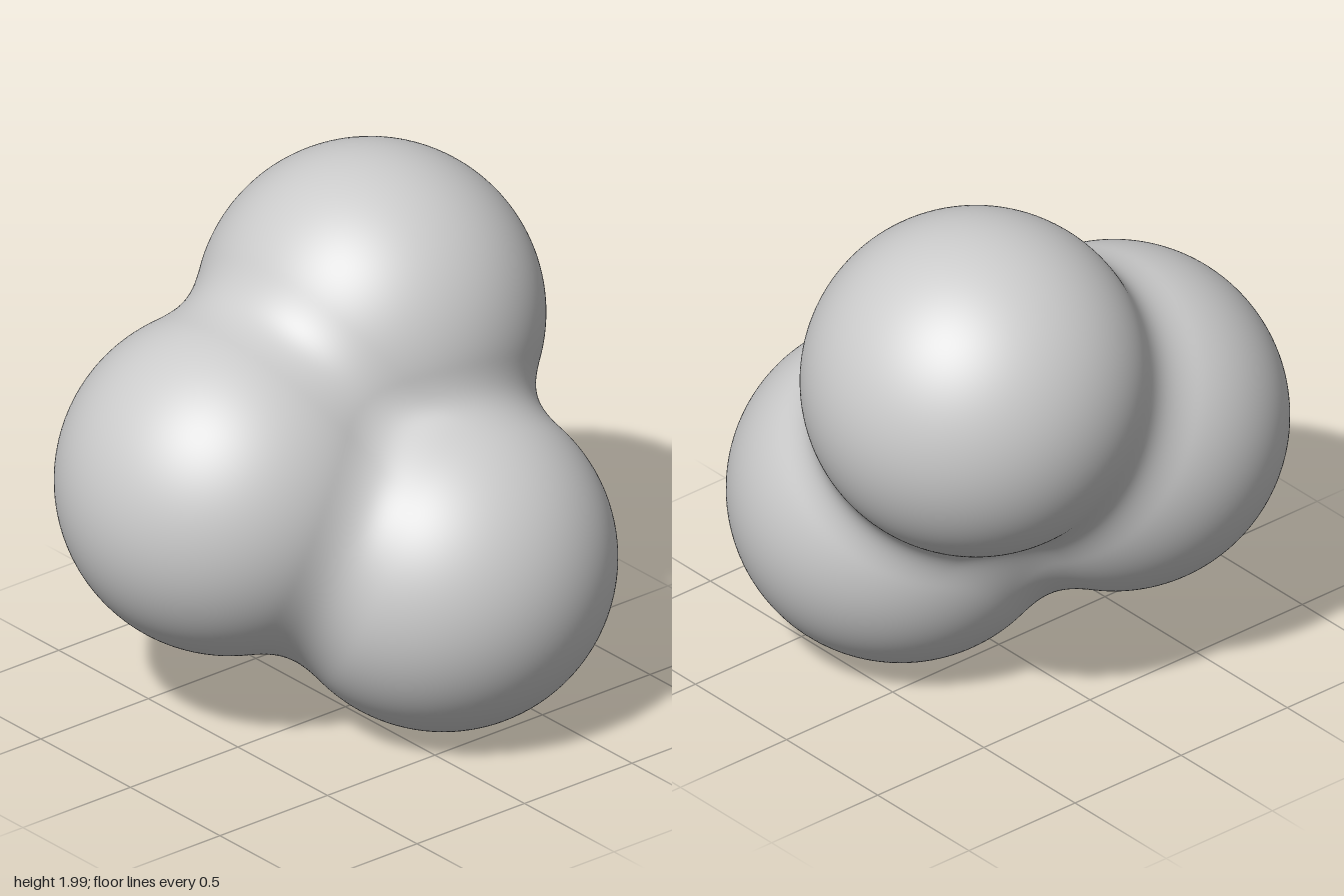
import * as THREE from 'three';
import { mergeVertices } from 'three/addons/utils/BufferGeometryUtils.js';

// The three lobes: centre and radius
const lobes = [
  { centre: new THREE.Vector3(-0.27, 1.37, -0.34), radius: 0.63 },
  { centre: new THREE.Vector3(-0.23, 0.935, 0.345), radius: 0.63 },
  { centre: new THREE.Vector3(0.265, 0.63, -0.235), radius: 0.625 },
];
const BLEND = 0.17; // width of the soft fillet between lobes

function smoothMin(a, b) {
  const h = Math.max(BLEND - Math.abs(a - b), 0) / BLEND;
  return Math.min(a, b) - h * h * BLEND / 4;
}

// Signed distance to the blended lobes
function distance(p) {
  return lobes.map((l) => p.distanceTo(l.centre) - l.radius).reduce(smoothMin);
}

// Push a fine sphere out from the shared middle until it meets the blended surface
function blendedGeometry() {
  let geometry = new THREE.IcosahedronGeometry(1, 44);
  geometry.deleteAttribute('uv');
  geometry.deleteAttribute('normal');
  geometry = mergeVertices(geometry, 1e-5);

  const middle = new THREE.Vector3();
  lobes.forEach((l) => middle.addScaledVector(l.centre, 1 / lobes.length));

  const position = geometry.attributes.position;
  const direction = new THREE.Vector3();
  const point = new THREE.Vector3();
  for (let i = 0; i < position.count; i++) {
    direction.fromBufferAttribute(position, i).normalize();
    let near = 0, far = 2;
    for (let step = 0; step < 24; step++) {
      const t = (near + far) / 2;
      point.copy(middle).addScaledVector(direction, t);
      if (distance(point) < 0) near = t; else far = t;
    }
    position.setXYZ(i, point.x, point.y, point.z);
  }
  geometry.computeVertexNormals();
  return geometry;
}

export function createModel() {
  const group = new THREE.Group();
  group.name = 'blendedSpheres';
  const body = new THREE.Mesh(
    blendedGeometry(),
    new THREE.MeshStandardMaterial({ color: 0xcccccc }),
  );
  body.name = 'threeLobedBody';
  group.add(body);
  return group;
}
